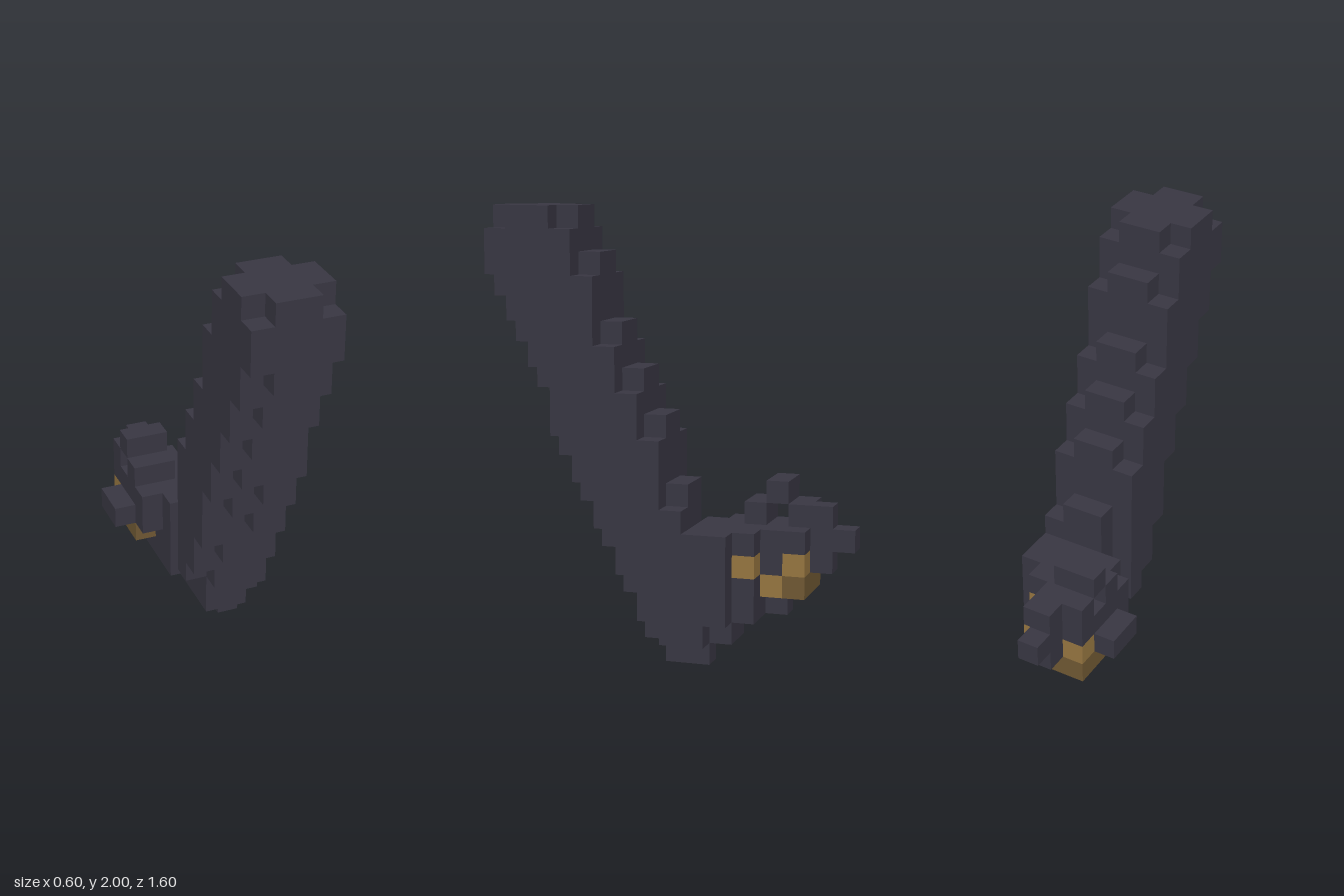
import * as THREE from 'three';
import { mergeGeometries } from 'three/addons/utils/BufferGeometryUtils.js';

const U = 0.1; // cube size
const charcoal = new THREE.MeshStandardMaterial({ color: 0x383642 });
charcoal.name = 'charcoal';
const gold = new THREE.MeshStandardMaterial({ color: 0x957540 });
gold.name = 'gold';
const darkGold = new THREE.MeshStandardMaterial({ color: 0x6f5833 });
darkGold.name = 'dark gold';

// Shaft layers, bottom up from layer 2: inclusive z cells of the
// left-out column (x -1), the two middle columns and the far column (x 2).
const shaftLayers = [
  [null, [-3, 0], [-3, 0]],
  [[0, 0], [-3, 1], [-3, 0]],
  [[0, 1], [-3, 1], [-3, 1]],
  [[0, 1], [-2, 2], [-2, 1]],
  [[0, 2], [-1, 2], [-1, 2]],
  [[0, 2], [-1, 3], [0, 2]],
  [[0, 2], [0, 3], [0, 3]],
  [[0, 3], [0, 4], [0, 3]],
  [[1, 3], [0, 4], [1, 4]],
  [[1, 4], [1, 4], [1, 4]],
  [[2, 4], [1, 5], [2, 4]],
  [[2, 5], [2, 5], [2, 5]],
  [[3, 5], [2, 6], [3, 5]],
  [[3, 6], [3, 6], [3, 6]],
  [[3, 6], [3, 7], [3, 6]],
  [[4, 7], [3, 7], [4, 7]],
  [[4, 7], [4, 7], [4, 7]],
  [[5, 6], [4, 7], [5, 6]],
];

// Blocks as inclusive cell ranges [x0, x1, y0, y1, z0, z1]
const shaftBlocks = [];
shaftLayers.forEach(([a, b, c], n) => {
  const y = n + 2;
  if (a) shaftBlocks.push([-1, -1, y, y, ...a]);
  // the inner column stops one cell short on two layers
  const short = y === 7 || y === 9 ? 1 : 0;
  shaftBlocks.push([0, 0, y, y, b[0], b[1] - short], [1, 1, y, y, ...b]);
  shaftBlocks.push([2, 2, y, y, ...c]);
});

const parts = [
  ['goldBand', darkGold, [[-2, 0, 3, 3, -6, -6], [-2, -2, 3, 3, -5, -4]]],
  ['goldStuds', gold, [
    [0, 0, 4, 4, -6, -6], [-2, -2, 4, 4, -6, -6],
    [1, 1, 4, 4, -4, -4], [0, 0, 3, 3, -5, -5],
  ]],
  ['shaft', charcoal, shaftBlocks],
  ['heel', charcoal, [
    [1, 1, 0, 0, -2, -1], [0, 2, 1, 1, -2, -1],
    [0, 1, 1, 1, -3, -3], [0, 1, 1, 1, 0, 0],
  ]],
  ['foot', charcoal, [
    [-1, -1, 2, 5, -3, -2], [-1, 1, 2, 3, -4, -4], [-1, -1, 2, 3, -5, -5],
    [-1, 1, 4, 5, -4, -4], [-1, 2, 5, 5, -3, -2],
    [-2, 0, 4, 5, -5, -5], [-2, 0, 5, 5, -6, -6], [-1, -1, 4, 4, -6, -6],
    [-2, -2, 4, 5, -4, -3], [-3, -3, 4, 4, -5, -4],
  ]],
  ['crest', charcoal, [
    [-2, -1, 6, 6, -4, -4], [-2, -1, 7, 7, -5, -5], [-2, -1, 6, 6, -6, -6],
    [-1, -1, 4, 6, -7, -7], [-1, -1, 5, 5, -8, -8],
  ]],
];

// Outward directions with the turn that points a plane along each
const sides = [
  [0, 0, 1, 0, 0], [0, 0, -1, 0, Math.PI],
  [1, 0, 0, 0, Math.PI / 2], [-1, 0, 0, 0, -Math.PI / 2],
  [0, 1, 0, -Math.PI / 2, 0], [0, -1, 0, Math.PI / 2, 0],
];

export function createModel() {
  const group = new THREE.Group();
  group.name = 'blockyBentLimb';

  // Each cell belongs to the first part that claims it
  const cells = new Map();
  for (const [name, , blocks] of parts) {
    for (const [x0, x1, y0, y1, z0, z1] of blocks) {
      for (let x = x0; x <= x1; x++)
        for (let y = y0; y <= y1; y++)
          for (let z = z0; z <= z1; z++) {
            const key = `${x},${y},${z}`;
            if (!cells.has(key)) cells.set(key, { name, p: [x, y, z] });
          }
    }
  }

  // Only the exposed cube faces are built
  for (const [name, material] of parts) {
    const faces = [];
    for (const { name: owner, p: [x, y, z] } of cells.values()) {
      if (owner !== name) continue;
      for (const [dx, dy, dz, rx, ry] of sides) {
        if (cells.has(`${x + dx},${y + dy},${z + dz}`)) continue;
        const face = new THREE.PlaneGeometry(U, U);
        face.rotateX(rx).rotateY(ry);
        face.translate(
          (x + 0.5 + dx / 2) * U, (y + 0.5 + dy / 2) * U, (z + 0.5 + dz / 2) * U);
        faces.push(face);
      }
    }
    const mesh = new THREE.Mesh(mergeGeometries(faces), material);
    mesh.name = name;
    group.add(mesh);
  }
  return group;
}
